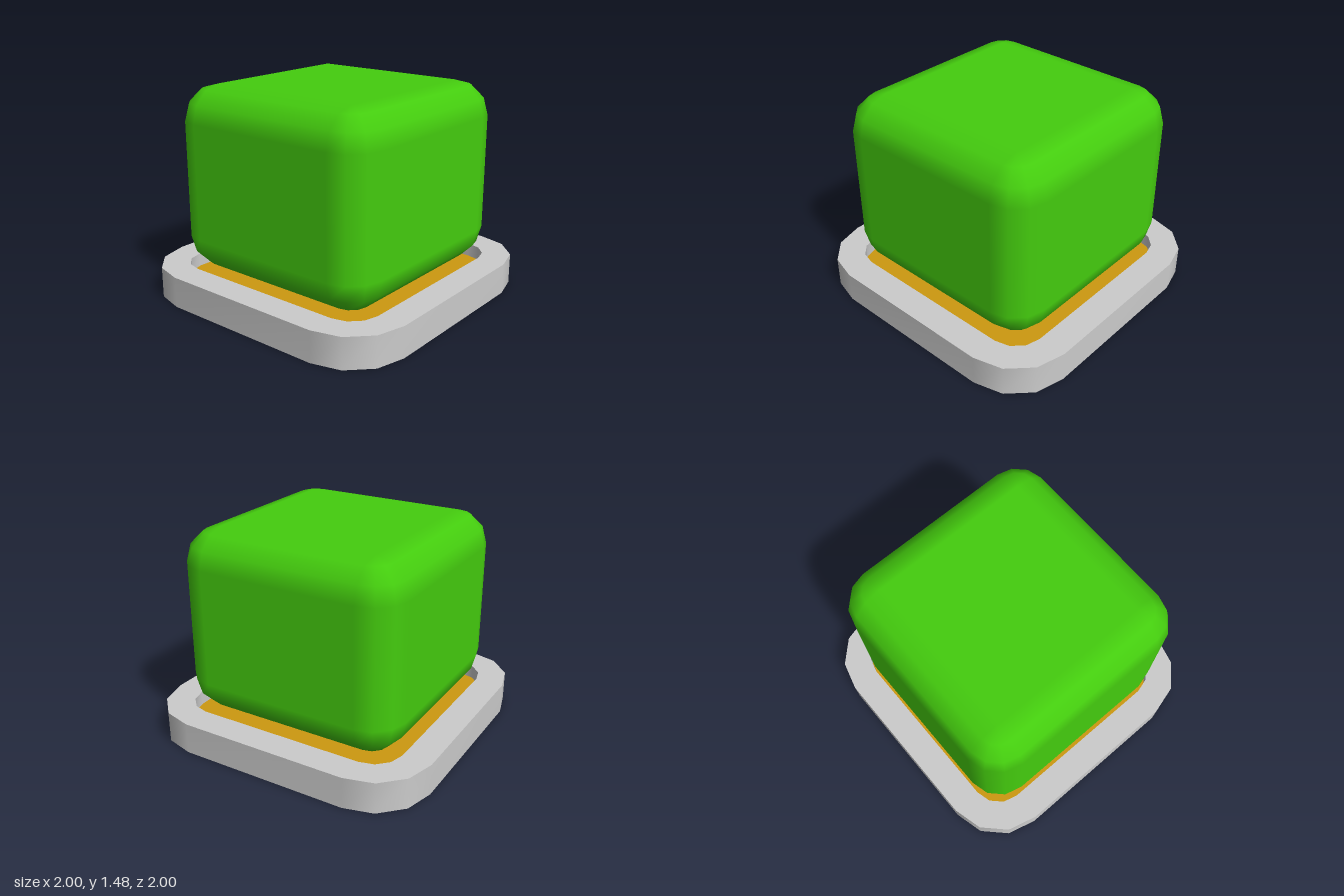
import * as THREE from 'three';

// One rounded-square ring: half width, corner radius, height; four points per corner
function loop(half, radius, y) {
  const points = [];
  for (let corner = 0; corner < 4; corner++) {
    const mid = (corner + 0.5) * Math.PI / 2;
    const inset = half - radius;
    for (let s = 0; s <= 3; s++) {
      const a = (corner + s / 3) * Math.PI / 2;
      points.push(
        Math.sign(Math.cos(mid)) * inset + radius * Math.cos(a), y,
        Math.sign(Math.sin(mid)) * inset + radius * Math.sin(a));
    }
  }
  return points;
}

// Skin a list of rings [half, radius, y]; rising rings face outward
function skin(rings) {
  const n = 16, index = [];
  for (let i = 0; i < rings.length - 1; i++) {
    for (let j = 0; j < n; j++) {
      const a = i * n + j, b = i * n + (j + 1) % n;
      index.push(a, a + n, b, b, a + n, b + n);
    }
  }
  const geometry = new THREE.BufferGeometry();
  geometry.setAttribute('position',
    new THREE.Float32BufferAttribute(rings.flatMap((r) => loop(...r)), 3));
  geometry.setIndex(index);
  geometry.computeVertexNormals();
  return geometry;
}

// Closed box with every edge rounded, bevelled in three steps
function roundedBlock(half, radius, bottom, top) {
  const inset = half - radius;
  const rings = [[0, 0, bottom]];
  const tilts = [-Math.PI / 2];
  for (const side of [-1, 1]) {
    for (let s = 0; s <= 3; s++) {
      const tilt = (side < 0 ? s - 3 : s) * Math.PI / 6;
      const r = radius * Math.cos(tilt);
      const centre = side < 0 ? bottom + radius : top - radius;
      rings.push([inset + r, r, centre + radius * Math.sin(tilt)]);
      tilts.push(tilt);
    }
  }
  rings.push([0, 0, top]);
  tilts.push(Math.PI / 2);

  // Smooth normals follow the bevel, so the large faces stay flat
  const geometry = skin(rings);
  const normal = geometry.attributes.normal;
  tilts.forEach((tilt, i) => {
    for (let j = 0; j < 16; j++) {
      const a = (Math.floor(j / 4) + (j % 4) / 3) * Math.PI / 2;
      normal.setXYZ(i * 16 + j,
        Math.cos(tilt) * Math.cos(a), Math.sin(tilt), Math.cos(tilt) * Math.sin(a));
    }
  });
  return geometry;
}

export function createModel() {
  const model = new THREE.Group();
  const material = (color) =>
    new THREE.MeshStandardMaterial({ color, side: THREE.DoubleSide });
  const grey = material(0xcccccc);
  const add = (name, geometry, mat, parent = model) => {
    const mesh = new THREE.Mesh(geometry, mat);
    mesh.name = name;
    parent.add(mesh);
  };

  const height = 0.215, recess = 0.12;
  const outer = [1, 0.4], inner = [0.8, 0.2];

  // Base frame, open underneath, with crisp edges between its bands
  const frame = new THREE.Group();
  frame.name = 'baseFrame';
  model.add(frame);
  add('frameOuterWall', skin([[...outer, 0], [...outer, height]]), grey, frame);
  add('frameTop', skin([[...outer, height], [...inner, height]]), grey, frame);
  add('frameInnerWall', skin([[...inner, height], [...inner, recess]]), grey, frame);

  // Recessed plate filling the frame opening
  add('recessedPlate', skin([[...inner, recess], [0, 0, recess]]), material(0xcc9910));

  // Rounded button cap hovering over the plate
  add('buttonCap', roundedBlock(0.8, 0.24, 0.19, 1.475), material(0x44cc0e));

  return model;
}
